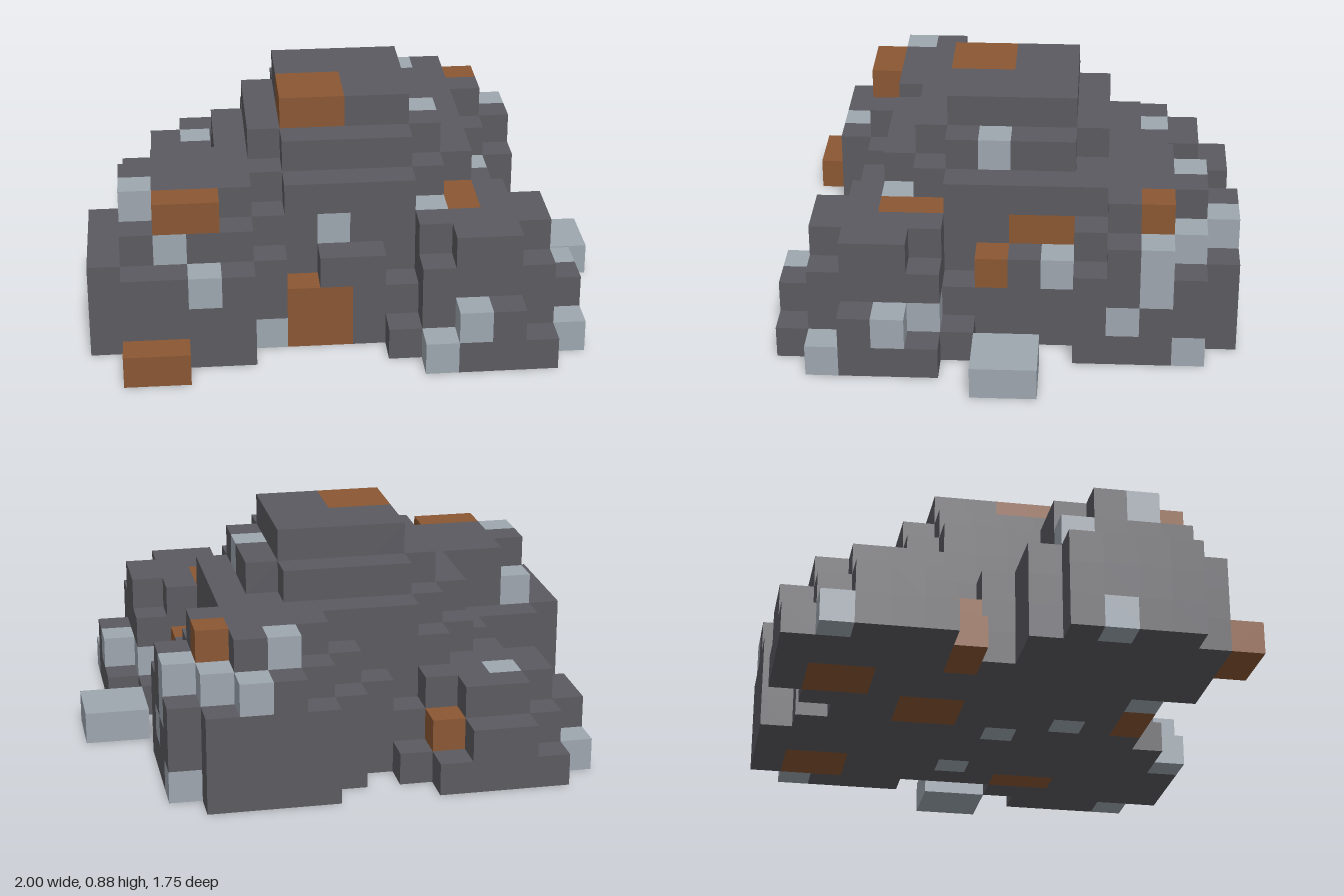
import * as THREE from 'three';

const U = 0.125; // edge of one block

// Mounds: centre and height per ring, from the middle outward
const ring = (heights) => (d2) => heights[Math.round((d2 - 0.5) / 2)] || 0;
const MOUNDS = [
  { name: 'centralMound', x: 0, z: 0, r: 5, height: (d2) => (d2 < 25 ? Math.round(7.2 * Math.sqrt(1 - d2 / 25)) : 0) },
  { name: 'frontLeftMound', x: 4, z: 4, r: 3, height: ring([4, 4, 3, 2, 1]) },
  { name: 'backLeftMound', x: 3, z: -4, r: 3, height: ring([5, 5, 4, 4, 3]) },
  { name: 'frontRightMound', x: -5, z: 3, r: 3, height: ring([5, 5, 4, 3, 3]) },
  { name: 'backRightMound', x: -4, z: -4, r: 3, height: ring([3, 3, 2, 2, 1]) },
];

// Loose blocks lying on the ground: x, y, z, width, height, depth
const LOOSE = [
  { name: 'rustyPlank', box: [-7, 0, 6, 2, 1, 1], color: 'rust' },
  { name: 'metalSlab', box: [6, 0, -1, 2, 1, 2], color: 'metal' },
];

// Coloured pieces within the mounds: x, y, z, width, height, depth
const RUST = [
  [-2, 6, 0, 2, 1, 2], [-6, 4, 4, 2, 1, 1], [-2, 0, 4, 2, 2, 1], [3, 3, 2, 1, 1, 2],
  [4, 2, 0, 1, 1, 1], [3, 3, -2, 1, 1, 2], [4, 4, -5, 1, 1, 1], [-3, 1, -6, 1, 1, 1],
  [-6, 0, -2, 2, 1, 1], [-5, 1, -2, 1, 1, 1],
  [-2, 0, -3, 2, 1, 2], [3, 0, -6, 2, 1, 2], [-4, 0, -6, 2, 1, 2], [4, 0, 1, 1, 1, 2],
];
const METAL = [
  [2, 5, 0], [-7, 4, 3], [-6, 3, 4], [-5, 2, 5], [-1, 3, 3], [-3, 0, 4],
  [2, 0, 6], [3, 1, 6], [6, 0, 5], [6, 1, 3], [5, 1, 2], [2, 3, 3],
  [5, 2, -5], [5, 3, -5], [3, 3, -7], [2, 4, -6], [4, 3, -6], [4, 2, -2],
  [5, 0, -6], [5, 1, -4], [-7, 0, -6], [-5, 2, -5], [-8, 0, 2], [-7, 3, 1],
  [3, 0, -1], [-1, 0, 2], [0, 0, 0],
];

const key = (x, y, z) => `${x},${y},${z}`;

function eachCell([x, y, z, w = 1, h = 1, d = 1], visit) {
  for (let i = x; i < x + w; i++)
    for (let j = y; j < y + h; j++)
      for (let k = z; k < z + d; k++) visit(i, j, k);
}

// Outer faces of the cells, one square per exposed side
function blockGeometry(cells, solid) {
  const pos = [];
  const nor = [];
  for (const c of cells) {
    for (let a = 0; a < 3; a++) {
      for (const s of [1, -1]) {
        const n = [0, 0, 0];
        n[a] = s;
        if (solid.has(key(c[0] + n[0], c[1] + n[1], c[2] + n[2]))) continue;
        const corner = (u, v) => {
          const p = c.slice();
          p[a] += s > 0 ? 1 : 0;
          p[(a + 1) % 3] += u;
          p[(a + 2) % 3] += v;
          return p.map((q) => q * U);
        };
        const q = [corner(0, 0), corner(1, 0), corner(1, 1), corner(0, 1)];
        if (s < 0) q.reverse();
        for (const i of [0, 1, 2, 0, 2, 3]) {
          pos.push(...q[i]);
          nor.push(...n);
        }
      }
    }
  }
  const g = new THREE.BufferGeometry();
  g.setAttribute('position', new THREE.Float32BufferAttribute(pos, 3));
  g.setAttribute('normal', new THREE.Float32BufferAttribute(nor, 3));
  return g;
}

export function createModel() {
  const materials = {
    stone: new THREE.MeshStandardMaterial({ color: 0x5b5a60 }),
    rust: new THREE.MeshStandardMaterial({ color: 0x8a5733 }),
    metal: new THREE.MeshStandardMaterial({ color: 0x9da6af }),
  };
  for (const n in materials) materials[n].name = n;

  // Paint per cell
  const paint = new Map();
  RUST.forEach((b) => eachCell(b, (...c) => paint.set(key(...c), 'rust')));
  METAL.forEach((b) => eachCell(b, (...c) => paint.set(key(...c), 'metal')));

  // Each cell belongs to the first mound that fills it
  const solid = new Set();
  const parts = MOUNDS.map((m) => {
    const cells = { stone: [], rust: [], metal: [] };
    for (let x = m.x - m.r; x < m.x + m.r; x++) {
      for (let z = m.z - m.r; z < m.z + m.r; z++) {
        const h = m.height((x + 0.5 - m.x) ** 2 + (z + 0.5 - m.z) ** 2);
        for (let y = 0; y < h; y++) {
          const k = key(x, y, z);
          if (solid.has(k)) continue;
          solid.add(k);
          cells[paint.get(k) || 'stone'].push([x, y, z]);
        }
      }
    }
    return { name: m.name, cells };
  });

  const model = new THREE.Group();
  model.name = 'rubblePile';
  for (const { name, cells } of parts) {
    const group = new THREE.Group();
    group.name = name;
    for (const color in cells) {
      if (!cells[color].length) continue;
      const mesh = new THREE.Mesh(blockGeometry(cells[color], solid), materials[color]);
      mesh.name = `${color}Blocks`;
      group.add(mesh);
    }
    model.add(group);
  }

  // Loose pieces
  for (const { name, box: [x, y, z, w, h, d], color } of LOOSE) {
    const mesh = new THREE.Mesh(new THREE.BoxGeometry(w * U, h * U, d * U), materials[color]);
    mesh.position.set((x + w / 2) * U, (y + h / 2) * U, (z + d / 2) * U);
    mesh.name = name;
    model.add(mesh);
  }
  return model;
}
